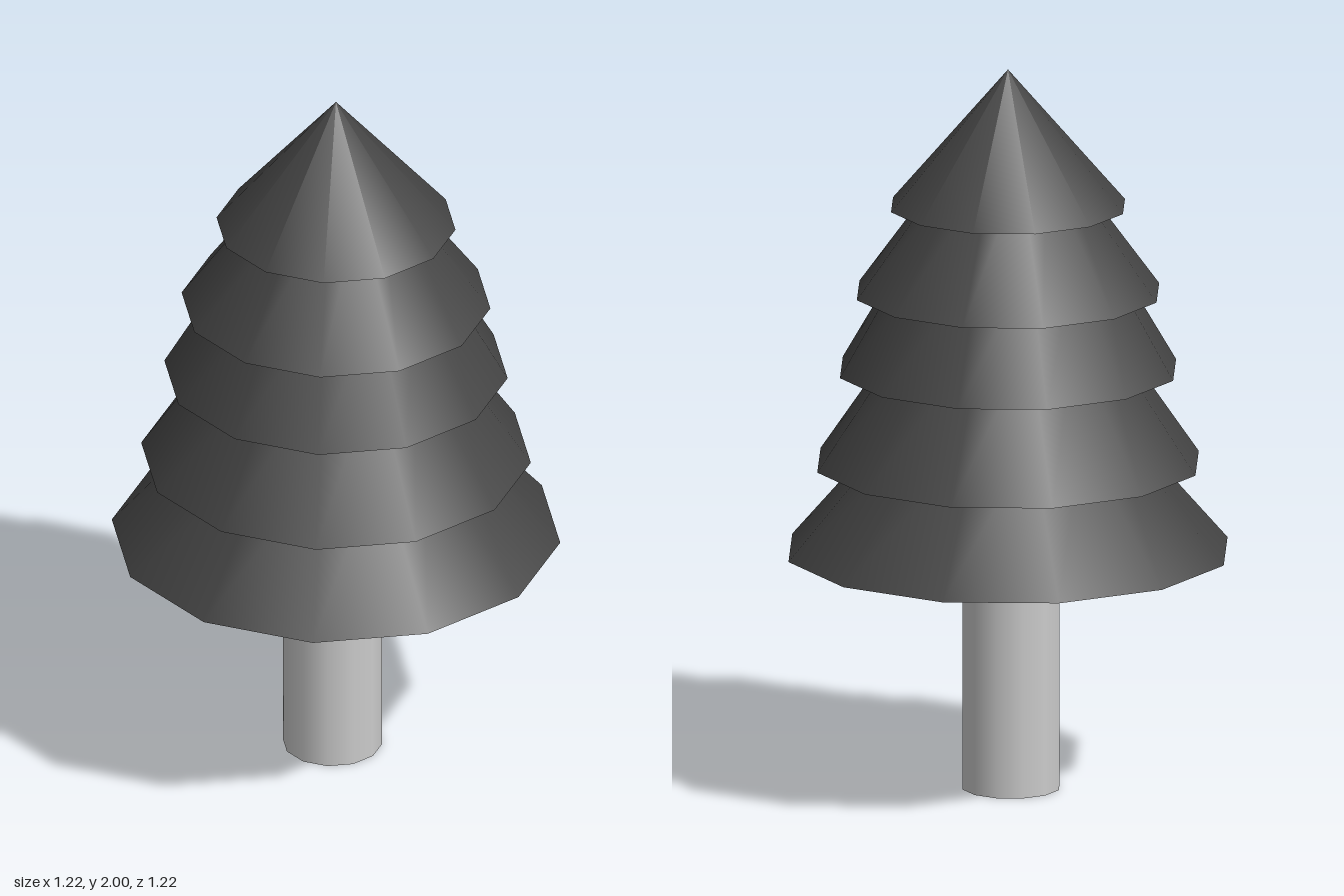
import * as THREE from 'three';

const SIDES = 12;

// Foliage skirts: [bottom radius, bottom y, top radius, top y]
const TIERS = [
  [0.61, 0.66, 0.29, 1.03],
  [0.53, 0.905, 0.26, 1.30],
  [0.467, 1.165, 0.26, 1.52],
  [0.42, 1.38, 0.15, 1.75],
  [0.325, 1.62, 0, 2.0],
];

export function createModel() {
  const tree = new THREE.Group();
  tree.name = 'pineTree';

  const bark = new THREE.MeshStandardMaterial({ color: 0xcccccc });
  const needles = new THREE.MeshStandardMaterial({ color: 0x444444, side: THREE.DoubleSide });

  // Trunk, slightly off the centre line
  const trunkHeight = 0.68;
  const trunk = new THREE.Mesh(new THREE.CylinderGeometry(0.135, 0.135, trunkHeight, SIDES), bark);
  trunk.name = 'trunk';
  trunk.position.set(-0.01, trunkHeight / 2, -0.005);
  tree.add(trunk);

  // Overlapping hollow skirts, the last one closing to a point
  const foliage = new THREE.Group();
  foliage.name = 'foliage';
  TIERS.forEach(([rBottom, yBottom, rTop, yTop], i) => {
    const skirt = new THREE.Mesh(
      new THREE.CylinderGeometry(rTop, rBottom, yTop - yBottom, SIDES, 1, true),
      needles
    );
    skirt.name = `foliageTier${i + 1}`;
    skirt.position.y = (yBottom + yTop) / 2;
    foliage.add(skirt);
  });
  tree.add(foliage);

  return tree;
}
